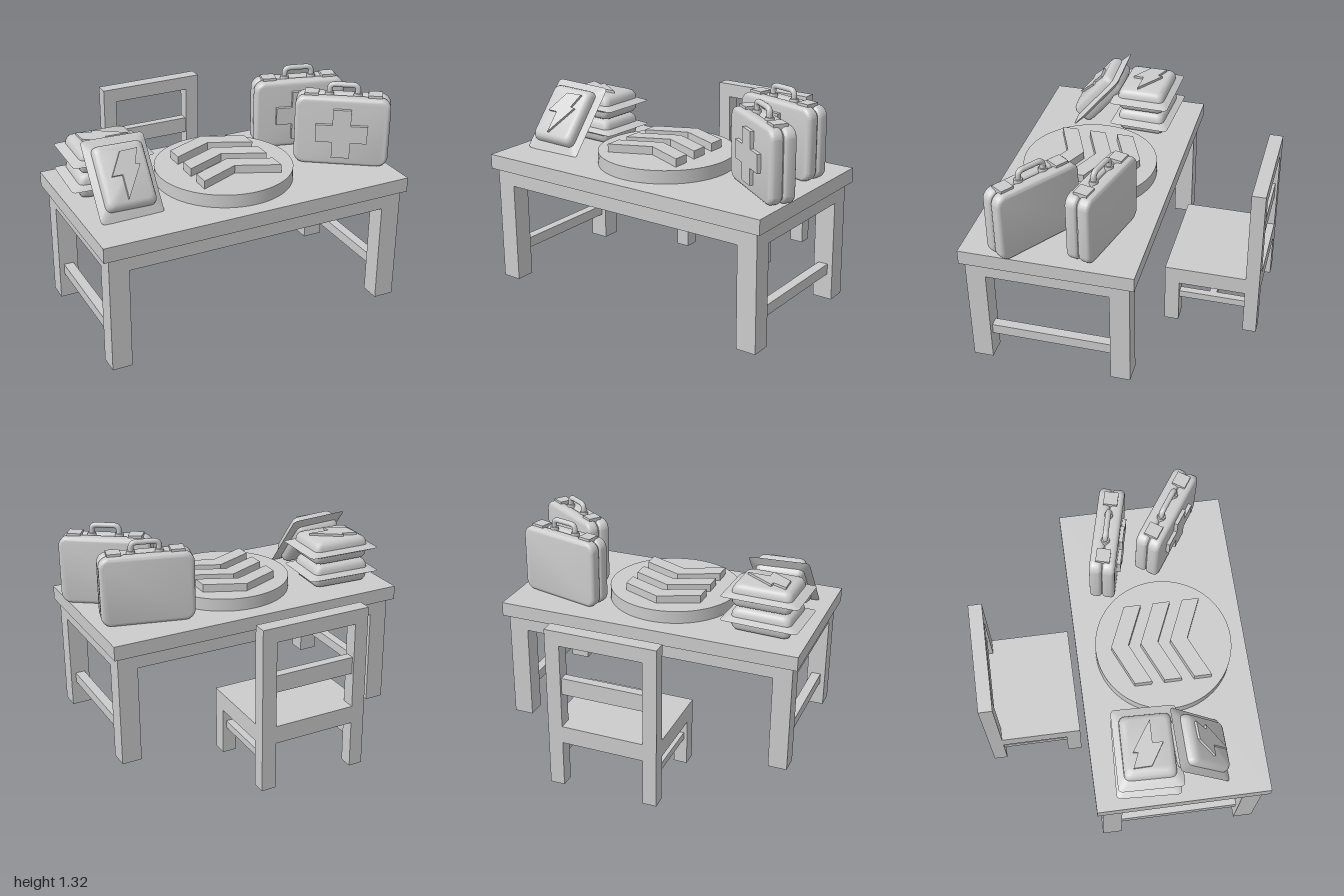
import * as THREE from 'three';
import { toCreasedNormals } from 'three/addons/utils/BufferGeometryUtils.js';

const grey = new THREE.MeshStandardMaterial({ color: 0xcccccc });

function add(parent, name, geometry, x = 0, y = 0, z = 0) {
  const mesh = new THREE.Mesh(geometry, grey);
  mesh.name = name;
  mesh.position.set(x, y, z);
  parent.add(mesh);
  return mesh;
}

function group(parent, name) {
  const g = new THREE.Group();
  g.name = name;
  parent.add(g);
  return g;
}

// Box given by its low and high limits on each axis
function block(parent, name, [x0, x1], [y0, y1], [z0, z1]) {
  return add(parent, name, new THREE.BoxGeometry(x1 - x0, y1 - y0, z1 - z0),
    (x0 + x1) / 2, (y0 + y1) / 2, (z0 + z1) / 2);
}

function polygon(points) {
  return new THREE.Shape(points.map(([x, y]) => new THREE.Vector2(x, y)));
}

function roundedRect(w, h, r) {
  const s = new THREE.Shape();
  s.absarc(w / 2 - r, h / 2 - r, r, 0, Math.PI / 2);
  s.absarc(r - w / 2, h / 2 - r, r, Math.PI / 2, Math.PI);
  s.absarc(r - w / 2, r - h / 2, r, Math.PI, Math.PI * 1.5);
  s.absarc(w / 2 - r, r - h / 2, r, Math.PI * 1.5, Math.PI * 2);
  s.closePath();
  return s;
}

const extrude = (shape, depth) => new THREE.ExtrudeGeometry(shape, { depth, bevelEnabled: false });

function buildTable(root) {
  const table = group(root, 'table');
  block(table, 'tableTop', [-1, 0.945], [0.715, 0.805], [-0.21, 0.83]);
  block(table, 'tableApron', [-0.965, 0.915], [0.62, 0.715], [-0.175, 0.805]);
  for (const [x0, x1] of [[-0.965, -0.845], [0.79, 0.915]]) {
    for (const z of [[-0.175, -0.055], [0.685, 0.805]]) {
      block(table, 'tableLeg', [x0, x1], [0, 0.62], z);
    }
    const c = (x0 + x1) / 2;
    block(table, 'tableStretcher', [c - 0.03, c + 0.03], [0.16, 0.225], [-0.055, 0.685]);
  }
}

function buildChair(root) {
  const chair = group(root, 'chair');
  const back = [-0.83, -0.745], inner = [-0.285, 0.225];
  block(chair, 'chairSeat', [-0.37, 0.315], [0.295, 0.405], [-0.83, -0.245]);
  for (const side of [[-0.37, -0.285], [0.225, 0.315]]) {
    block(chair, 'chairFrontLeg', side, [0, 0.295], [-0.335, -0.245]);
    block(chair, 'chairBackLeg', side, [0, 0.295], back);
    block(chair, 'chairBackPost', side, [0.405, 1.025], back);
    const c = (side[0] + side[1]) / 2;
    block(chair, 'chairSideStretcher', [c - 0.022, c + 0.022], [0.17, 0.215], [-0.745, -0.335]);
  }
  block(chair, 'chairCrossStretcher', [-0.328, 0.27], [0.17, 0.215], [-0.562, -0.518]);
  block(chair, 'chairTopRail', inner, [0.935, 1.025], back);
  block(chair, 'chairMiddleRail', inner, [0.615, 0.72], [-0.815, -0.76]);
}

function buildDisc(root) {
  const disc = group(root, 'chevronDisc');
  add(disc, 'disc', new THREE.CylinderGeometry(0.415, 0.415, 0.08, 64), -0.03, 0.845, 0.32);
  const shape = polygon([[-0.25, -0.11], [-0.25, -0.215], [0, -0.105],
    [0.25, -0.215], [0.25, -0.11], [0, 0]]);
  for (let i = 0; i < 3; i++) {
    add(disc, 'chevron', extrude(shape, 0.05), -0.03, 0.885, i * 0.18).rotation.x = -Math.PI / 2;
  }
}

// Hard case made of two rounded shells, standing on y = 0 and facing +z
function buildCase(root, x, z, turn) {
  const kit = group(root, 'medicalCase');
  const w = 0.57, h = 0.435, half = 0.0775, bevel = 0.025;
  const shell = toCreasedNormals(new THREE.ExtrudeGeometry(
    roundedRect(w - 2 * bevel, h - 2 * bevel, 0.04),
    { depth: half - 2 * bevel, bevelSize: bevel, bevelThickness: bevel, bevelSegments: 5, curveSegments: 8 }), 0.7);
  for (const s of [-1, 1]) {
    add(kit, 'caseShell', shell, 0, h / 2, s * half / 2 - half / 2 + bevel);
    add(kit, 'caseLatch', new THREE.BoxGeometry(0.085, 0.03, 0.085), s * 0.19, h, 0);
    add(kit, 'handleMount', new THREE.CylinderGeometry(0.025, 0.028, 0.03, 16), s * 0.085, h, 0);
  }
  // Seam filler between the two shells
  add(kit, 'caseSeam', extrude(roundedRect(w - 0.03, h - 0.03, 0.05), 0.05), 0, h / 2, -0.025);

  const path = new THREE.CurvePath();
  const v = (px, py) => new THREE.Vector3(px, h + py, 0);
  path.add(new THREE.LineCurve3(v(-0.085, -0.01), v(-0.085, 0.03)));
  path.add(new THREE.QuadraticBezierCurve3(v(-0.085, 0.03), v(-0.085, 0.063), v(-0.05, 0.063)));
  path.add(new THREE.LineCurve3(v(-0.05, 0.063), v(0.05, 0.063)));
  path.add(new THREE.QuadraticBezierCurve3(v(0.05, 0.063), v(0.085, 0.063), v(0.085, 0.03)));
  path.add(new THREE.LineCurve3(v(0.085, 0.03), v(0.085, -0.01)));
  add(kit, 'caseHandle', new THREE.TubeGeometry(path, 40, 0.017, 12));

  const a = 0.055, b = 0.155;
  const cross = polygon([[-a, -b], [a, -b], [a, -a], [b, -a], [b, a], [a, a],
    [a, b], [-a, b], [-a, a], [-b, a], [-b, -a], [-a, -a]]);
  add(kit, 'caseCross', extrude(cross, 0.035), 0, 0.215, 0.065);
  kit.position.set(x, 0.805, z);
  kit.rotation.y = turn;
}

// Sealed packet: thin rim swelling to a raised pad on both faces
function packetGeometry() {
  // half width, half length, corner radius, height
  const pad = [[0.152, 0.19, 0.035, 0.02], [0.15, 0.187, 0.035, 0.045],
    [0.14, 0.175, 0.035, 0.065], [0.12, 0.155, 0.03, 0.075]];
  const rings = [...pad.map(([w, l, r, t]) => [w, l, r, -t]).reverse(),
    [0.192, 0.245, 0.025, 0], ...pad];
  const per = 20, pos = [], idx = [];
  for (const [w, l, r, t] of rings) {
    for (let q = 0; q < 4; q++) {
      for (let k = 0; k < 5; k++) {
        const ang = (q + k / 4) * Math.PI / 2;
        const sx = q === 0 || q === 3 ? 1 : -1, sy = q < 2 ? 1 : -1;
        pos.push(sx * (w - r) + r * Math.cos(ang), sy * (l - r) + r * Math.sin(ang), t);
      }
    }
  }
  for (let i = 0; i < rings.length - 1; i++) {
    for (let j = 0; j < per; j++) {
      const a = i * per + j, b = i * per + (j + 1) % per;
      idx.push(a, b, b + per, a, b + per, a + per);
    }
  }
  // End caps
  const last = (rings.length - 1) * per;
  for (let j = 1; j < per - 1; j++) idx.push(0, j + 1, j, last, last + j, last + j + 1);
  const g = new THREE.BufferGeometry();
  g.setAttribute('position', new THREE.Float32BufferAttribute(pos, 3));
  g.setIndex(idx);
  g.computeVertexNormals();
  return toCreasedNormals(g, 0.75);
}

function buildPackets(root) {
  const body = packetGeometry();
  const bolt = extrude(polygon([[-0.01, 0.13], [0.096, 0.135], [0.06, 0.045], [0.09, 0.04],
    [-0.027, -0.145], [-0.027, -0.005], [-0.09, -0.005]].reverse()), 0.025);
  const flat = -Math.PI / 2;
  // position, then tilt, turn and roll: two lie stacked, one leans on them
  const places = [
    [[-0.715, 0.88, 0.115], flat, Math.PI / 2 - 0.05, 0],
    [[-0.71, 1.035, 0.12], flat, Math.PI / 2 - 0.03, 0],
    [[-0.72, 0.99, 0.43], -0.69, 0.04, -0.04],
  ];
  for (const [p, tilt, turn, roll] of places) {
    const packet = group(root, 'energyPacket');
    add(packet, 'packetBody', body);
    add(packet, 'packetBolt', bolt, 0, 0, 0.065);
    packet.position.set(...p);
    packet.rotation.set(tilt, turn, roll, 'YXZ');
  }
}

export function createModel() {
  const root = new THREE.Group();
  root.name = 'supplyTable';
  buildTable(root);
  buildChair(root);
  buildDisc(root);
  buildCase(root, 0.617, 0.06, -0.25);
  buildCase(root, 0.714, 0.44, -0.6);
  buildPackets(root);
  return root;
}
